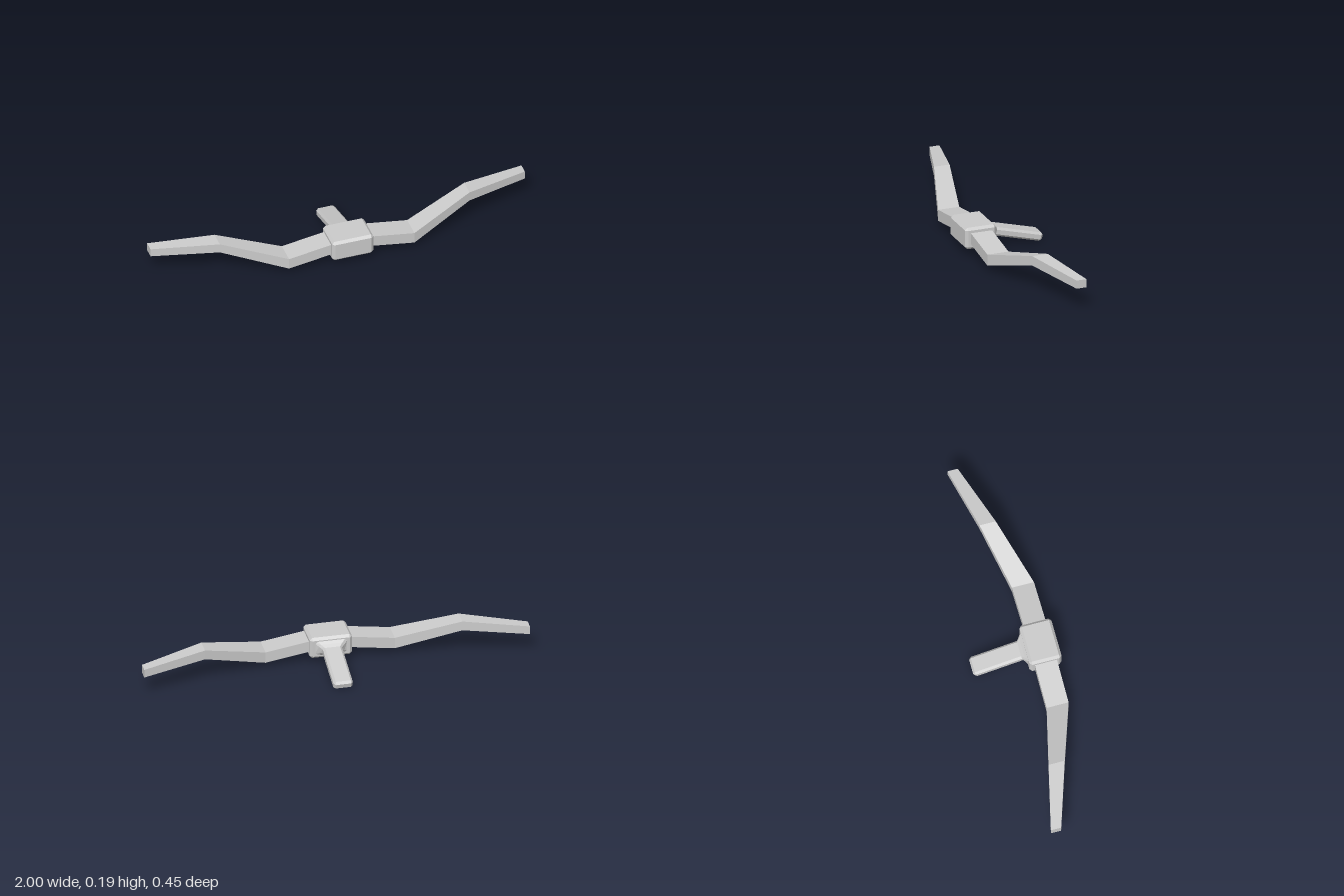
import * as THREE from 'three';

const material = new THREE.MeshStandardMaterial({ color: 0xcccccc, flatShading: true });

// Skins a list of equal-sized closed loops of points and caps both ends
function loft(name, loops) {
  const n = loops[0].length;
  const index = [];
  for (let s = 0; s < loops.length - 1; s++) {
    for (let i = 0; i < n; i++) {
      const a = s * n + i, a2 = s * n + (i + 1) % n;
      index.push(a, a + n, a2 + n, a, a2 + n, a2);
    }
  }
  const last = (loops.length - 1) * n;
  for (let i = 1; i < n - 1; i++) {
    index.push(0, i, i + 1, last, last + i + 1, last + i);
  }
  const indexed = new THREE.BufferGeometry().setFromPoints(loops.flat());
  indexed.setIndex(index);
  const geometry = indexed.toNonIndexed();
  geometry.computeVertexNormals();
  const mesh = new THREE.Mesh(geometry, material);
  mesh.name = name;
  return mesh;
}

// Rectangle with cut corners, facing +z and tilted about x
function section({ y, z, w, h, c, tilt = 0 }) {
  const corners = [
    [w, -h + c], [w, h - c], [w - c, h], [-w + c, h],
    [-w, h - c], [-w, -h + c], [-w + c, -h], [w - c, -h],
  ];
  return corners.map(([px, py]) => new THREE.Vector3(
    px, y + py * Math.cos(tilt), z - py * Math.sin(tilt)));
}

export function createModel() {
  const group = new THREE.Group();
  group.name = 'wingedBody';

  // Central block, bevelled on every edge
  const bevel = 0.013;
  const block = { y: 0.096, w: 0.11, h: 0.058, c: bevel };
  const blockEnd = { y: 0.096, w: 0.11 - bevel, h: 0.058 - bevel, c: 0.002 };
  group.add(loft('body', [
    section({ ...blockEnd, z: 0.225 }),
    section({ ...block, z: 0.225 - bevel }),
    section({ ...block, z: 0.057 + bevel }),
    section({ ...blockEnd, z: 0.057 }),
  ]));

  // Cranked wings, mirrored about the body: x, bottom, top, back, front
  const half = [
    [1.0, 0.118, 0.162, -0.075, -0.021],
    [0.667, 0.139, 0.19, 0.003, 0.088],
    [0.335, 0.033, 0.093, 0.083, 0.198],
    [0, 0.085, 0.144, 0.083, 0.198],
  ];
  const mirrored = half.slice(0, 3).reverse().map(([x, ...r]) => [-x, ...r]);
  group.add(loft('wings', [...half, ...mirrored].map(([x, y0, y1, z0, z1]) => [
    new THREE.Vector3(x, y0, z0), new THREE.Vector3(x, y1, z0),
    new THREE.Vector3(x, y1, z1), new THREE.Vector3(x, y0, z1),
  ])));

  // Tail bar sloping down to the back, flared where it meets the body
  const tilt = THREE.MathUtils.degToRad(15);
  const bar = { w: 0.05, h: 0.023, c: 0.011, tilt };
  group.add(loft('tail', [
    section({ y: 0.096, z: 0.06, w: 0.085, h: 0.042, c: 0.011 }),
    section({ y: 0.093, z: 0.048, w: 0.066, h: 0.03, c: 0.011, tilt: tilt / 2 }),
    section({ ...bar, y: 0.089, z: 0.035 }),
    section({ ...bar, y: 0.025, z: -0.207 }),
    section({ y: 0.022, z: -0.219, w: 0.039, h: 0.012, c: 0.002, tilt }),
  ]));

  return group;
}
